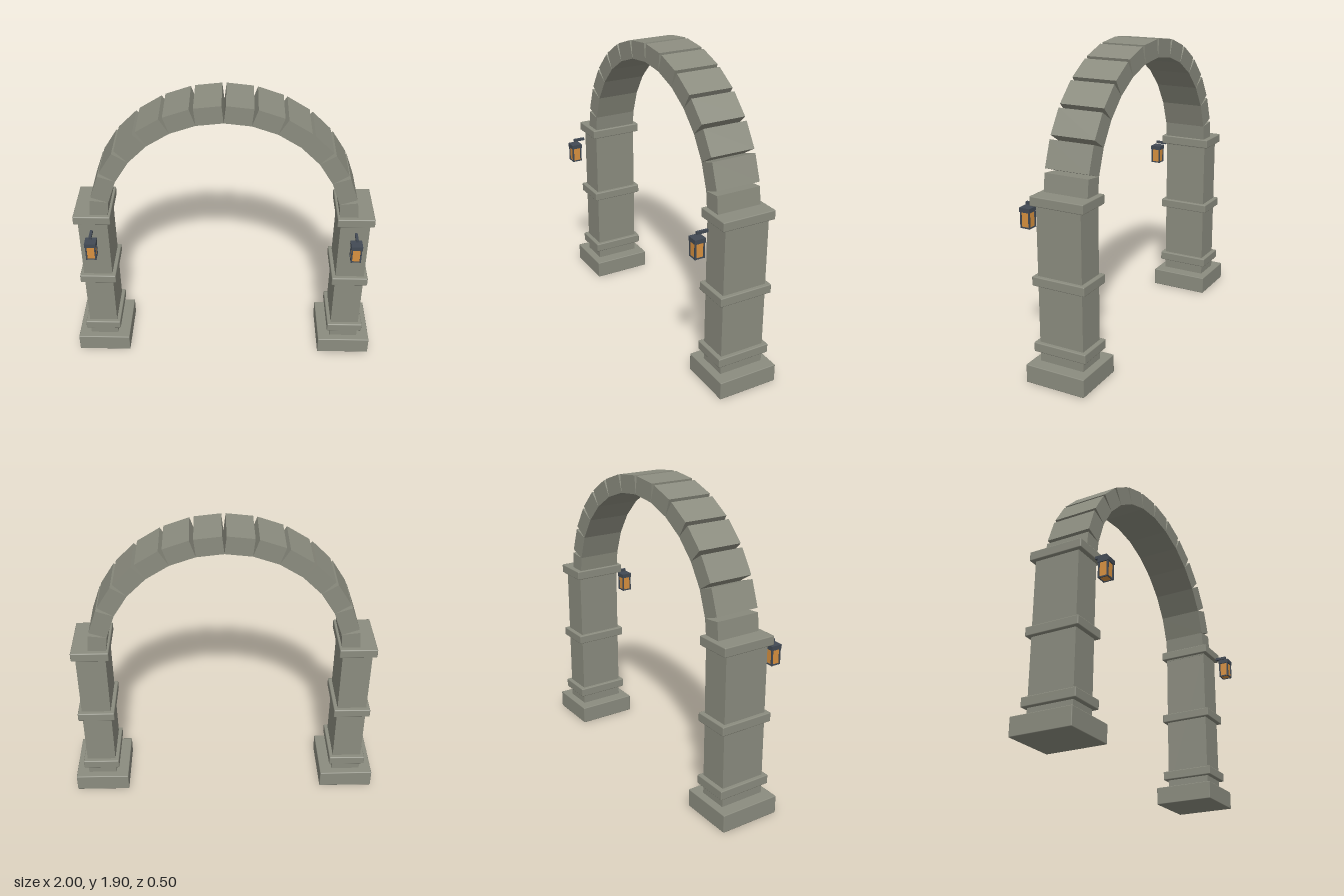
import * as THREE from 'three';
import { RoundedBoxGeometry } from 'three/addons/geometries/RoundedBoxGeometry.js';

const stone = new THREE.MeshStandardMaterial({ color: 0x8b8c7f });
const iron = new THREE.MeshStandardMaterial({ color: 0x424a54 });
const glass = new THREE.MeshStandardMaterial({ color: 0xd8913f });

const PILLAR_X = 0.824;
const MID_Z = -0.055;

function add(parent, name, geometry, material, x, y, z) {
  const mesh = new THREE.Mesh(geometry, material);
  mesh.name = name;
  mesh.position.set(x, y, z);
  parent.add(mesh);
  return mesh;
}

// Box given by its bottom and top heights; a bevel softens the edges
function block(parent, name, material, w, d, y0, y1, x = 0, z = 0, bevel = 0) {
  const h = y1 - y0;
  const geometry = bevel ? new RoundedBoxGeometry(w, h, d, 1, bevel) : new THREE.BoxGeometry(w, h, d);
  return add(parent, name, geometry, material, x, (y0 + y1) / 2, z);
}

function createPillar() {
  const pillar = new THREE.Group();
  block(pillar, 'base', stone, 0.348, 0.388, 0, 0.114, 0, 0, 0.005);
  block(pillar, 'shaft', stone, 0.186, 0.29, 0.11, 1.07);
  block(pillar, 'lowerBand', stone, 0.234, 0.346, 0.178, 0.236, 0, 0, 0.006);
  block(pillar, 'middleBand', stone, 0.234, 0.346, 0.59, 0.647, 0, 0, 0.006);
  block(pillar, 'capital', stone, 0.234, 0.346, 1.065, 1.123, 0, 0, 0.006);
  return pillar;
}

function createLantern() {
  const lantern = new THREE.Group();
  block(lantern, 'lanternGlass', glass, 0.054, 0.054, 0.893, 0.99);
  block(lantern, 'lanternCap', iron, 0.071, 0.071, 0.986, 1.013);
  // Corner posts and the rails between them near the foot
  for (const sx of [-1, 1]) {
    for (const sz of [-1, 1]) {
      block(lantern, 'lanternPost', iron, 0.009, 0.009, 0.889, 0.99, sx * 0.028, sz * 0.028);
    }
    block(lantern, 'lanternSideRail', iron, 0.006, 0.056, 0.889, 0.897, sx * 0.028, 0);
    block(lantern, 'lanternRail', iron, 0.056, 0.006, 0.889, 0.897, 0, sx * 0.028);
  }
  block(lantern, 'lanternBracket', iron, 0.016, 0.075, 1.029, 1.046, 0, -0.031);
  return lantern;
}

// Straight blocks that meet along the inner curve and gape outside
function createArch() {
  const arch = new THREE.Group();
  const count = 14, radius = 0.73, height = 0.113, step = Math.PI / count;
  const width = 2 * radius * Math.sin(step / 2);
  const geometry = new THREE.BoxGeometry(width, height, 0.286);
  const r = radius * Math.cos(step / 2) + height / 2;
  for (let i = 0; i < count; i++) {
    const a = (i + 0.5) * step;
    const stoneBlock = add(arch, 'archStone', geometry, stone, r * Math.cos(a), r * Math.sin(a), 0);
    stoneBlock.rotation.z = a - Math.PI / 2;
  }
  return arch;
}

export function createModel() {
  const model = new THREE.Group();
  model.name = 'stoneArch';
  for (const [side, name] of [[1, 'left'], [-1, 'right']]) {
    const pillar = createPillar();
    pillar.name = name + 'Pillar';
    pillar.position.set(side * PILLAR_X, 0, MID_Z);
    const lantern = createLantern();
    lantern.name = name + 'Lantern';
    lantern.position.set(side * PILLAR_X, 0, 0.213);
    model.add(pillar, lantern);
  }
  const arch = createArch();
  arch.name = 'arch';
  arch.position.set(0, 1.056, MID_Z + 0.002);
  model.add(arch);
  return model;
}
